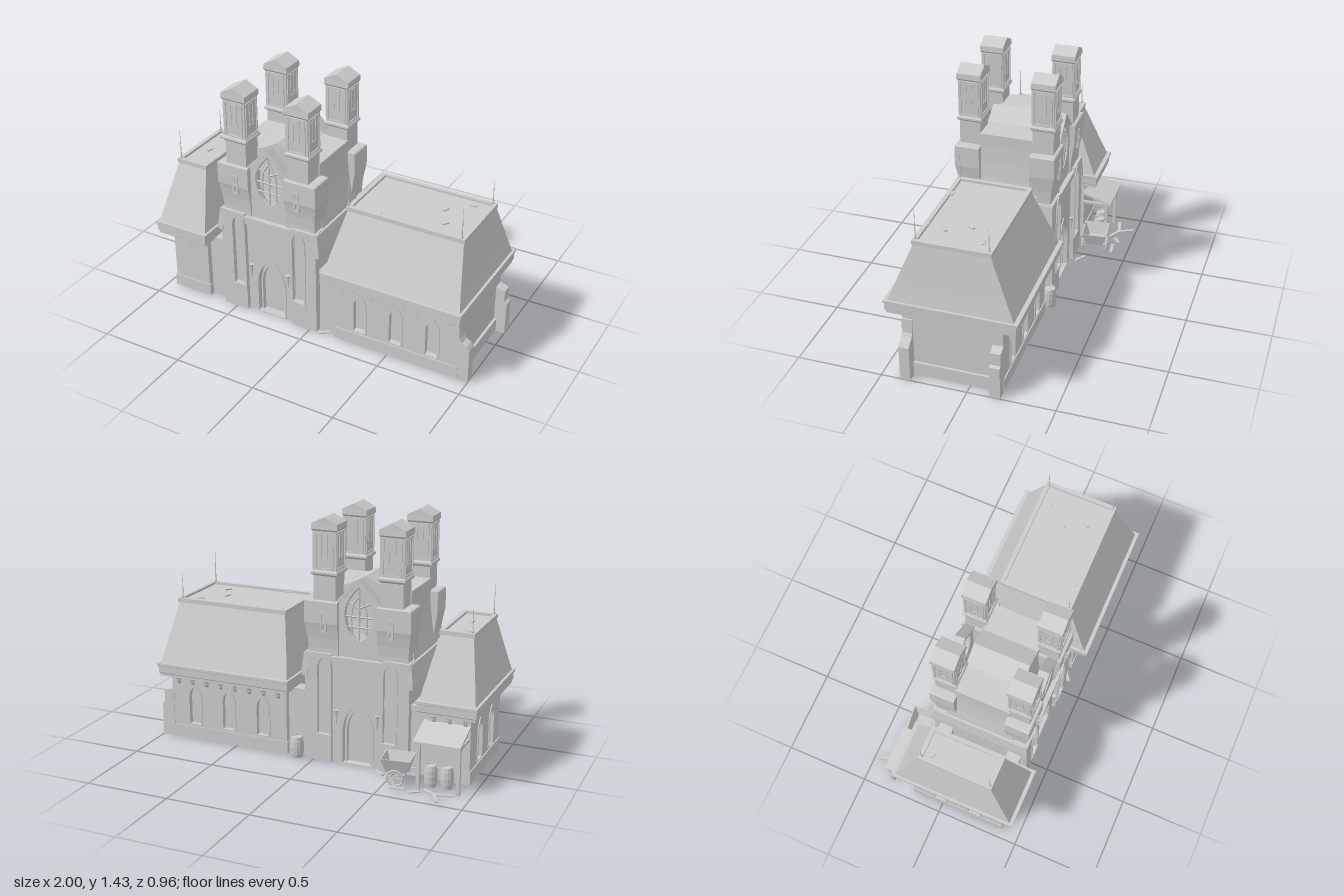
import * as THREE from 'three';

const mat = new THREE.MeshStandardMaterial({ color: 0xcccccc, flatShading: true, side: THREE.DoubleSide });
const MID = 0.1; // z of the common centre line

function add(parent, name, geo, x = 0, y = 0, z = 0) {
  const m = new THREE.Mesh(geo, mat);
  m.name = name;
  m.position.set(x, y, z);
  parent.add(m);
  return m;
}
function group(parent, name, x = 0, y = 0, z = 0, ry = 0) {
  const g = new THREE.Group();
  g.name = name;
  g.position.set(x, y, z);
  g.rotation.y = ry;
  parent.add(g);
  return g;
}
// box given by its limits
function box(parent, name, x0, x1, y0, y1, z0, z1) {
  return add(parent, name, new THREE.BoxGeometry(x1 - x0, y1 - y0, z1 - z0), (x0 + x1) / 2, (y0 + y1) / 2, (z0 + z1) / 2);
}
// stacked rectangular sections, each [x0, x1, z0, z1, y]
function loft(parent, name, rings) {
  const pos = [], idx = [];
  for (const [x0, x1, z0, z1, y] of rings) pos.push(x0, y, z1, x1, y, z1, x1, y, z0, x0, y, z0);
  for (let i = 0; i < rings.length - 1; i++) for (let j = 0; j < 4; j++) {
    const a = i * 4 + j, b = i * 4 + (j + 1) % 4;
    idx.push(a, b, b + 4, a, b + 4, a + 4);
  }
  const t = (rings.length - 1) * 4;
  idx.push(t, t + 1, t + 2, t, t + 2, t + 3, 0, 2, 1, 0, 3, 2);
  let g = new THREE.BufferGeometry();
  g.setAttribute('position', new THREE.Float32BufferAttribute(pos, 3));
  g.setIndex(idx);
  g = g.toNonIndexed();
  g.computeVertexNormals();
  return add(parent, name, g);
}
// same, for sections centred on x, z: each [halfX, halfZ, y]
const stack = (parent, name, cx, cz, secs) => loft(parent, name, secs.map(([a, b, y]) => [cx - a, cx + a, cz - b, cz + b, y]));

function arch(Type, cx, y0, w, h) {
  const s = new Type(), r = w / 2, k = y0 + h - w * 0.95;
  s.moveTo(cx - r, y0);
  s.lineTo(cx + r, y0);
  s.lineTo(cx + r, k);
  s.quadraticCurveTo(cx + r * 0.95, k + w * 0.6, cx, y0 + h);
  s.quadraticCurveTo(cx - r * 0.95, k + w * 0.6, cx - r, k);
  s.closePath();
  return s;
}
function poly(pts) {
  return new THREE.Shape(pts.map(p => new THREE.Vector2(...p)));
}
function slab(parent, name, shape, zFront, depth) {
  const g = new THREE.ExtrudeGeometry(shape, { depth, bevelEnabled: false, curveSegments: 7 });
  return add(parent, name, g, 0, 0, zFront - depth);
}
// wall with recessed pointed openings [cx, y0, w, h], each with a raised frame
function wall(parent, x0, x1, y0, y1, z, openings, depth = 0.04) {
  const s = poly([[x0, y0], [x1, y0], [x1, y1], [x0, y1]]);
  for (const [cx, oy, w, h] of openings) {
    s.holes.push(arch(THREE.Path, cx, oy + 0.001, w, h));
    const f = arch(THREE.Shape, cx, oy, w + 0.012, h + 0.01);
    f.holes.push(arch(THREE.Path, cx, oy + 0.006, w - 0.012, h - 0.014));
    slab(parent, 'archFrame', f, z + 0.006, 0.02);
    slab(parent, 'recessPanel', arch(THREE.Shape, cx, oy, w + 0.01, h + 0.005), z - depth + 0.005, 0.008);
  }
  return slab(parent, 'wall', s, z, depth);
}

// pavilion with mansard roof; roofTop = [x0, x1]
function pavilion(root, name, cx, hw, windows, corbels, eave, roofTop, spires) {
  const g = group(root, name);
  for (const ry of [0, Math.PI]) {
    const f = group(g, 'facade', cx, 0, MID, ry);
    wall(f, -hw, hw, 0, 0.41, 0.285, windows.map(x => [x, 0.09, 0.085, 0.25]));
    box(f, 'plinth', -hw - 0.006, hw + 0.006, 0.005, 0.08, 0.27, 0.291);
    const c = poly([[0, 0.34], [0.015, 0.355], [0.02, 0.375], [0.04, 0.385], [0.04, 0.41], [0, 0.41]]);
    for (const x of corbels) {
      const m = slab(f, 'corbel', c, 0, 0.018);
      m.rotation.y = -Math.PI / 2;
      m.position.set(x + 0.009, 0, 0.284);
    }
  }
  const [a, b] = eave, [p, q] = roofTop;
  loft(g, 'eaves', [[a + 0.012, b - 0.012, -0.265, 0.463, 0.405], [a + 0.012, b - 0.012, -0.265, 0.463, 0.42],
    [a + 0.006, b - 0.006, -0.27, 0.469, 0.425], [a + 0.006, b - 0.006, -0.27, 0.469, 0.465],
    [a, b, -0.28, 0.476, 0.47], [a, b, -0.28, 0.476, 0.485]]);
  loft(g, 'mansardRoof', [[a + 0.015, b - 0.015, -0.255, 0.455, 0.485], [a + 0.033, b - 0.033, -0.215, 0.415, 0.58], [p, q, -0.11, 0.31, 0.838]]);
  const rim = [[p - 0.008, q + 0.008, 0.295, 0.32], [p - 0.008, q + 0.008, -0.12, -0.095],
    [p - 0.008, p + 0.016, -0.12, 0.32], [q - 0.016, q + 0.008, -0.12, 0.32]];
  for (const [x0, x1, z0, z1] of rim) box(g, 'roofRim', x0, x1, 0.828, 0.853, z0, z1);
  for (const [x, z, h] of spires) {
    add(g, 'spire', new THREE.CylinderGeometry(0.001, 0.004, h, 6), x, 0.85 + h / 2, z);
    add(g, 'spireBase', new THREE.SphereGeometry(0.008, 6, 5), x, 0.86, z);
  }
  return g;
}

function barrel(parent, x, z, r, h) {
  const prof = [[0, 0], [0.8, 0], [0.95, 0.25], [1, 0.5], [0.95, 0.75], [0.8, 1], [0.72, 1], [0.72, 0.95], [0, 0.95]];
  add(parent, 'barrel', new THREE.LatheGeometry(prof.map(([a, b]) => new THREE.Vector2(a * r, b * h)), 14), x, 0.005, z);
  for (const t of [0.25, 0.75]) add(parent, 'barrelHoop', new THREE.CylinderGeometry(r * 0.99, r * 0.99, h * 0.07, 14, 1, true), x, 0.005 + h * t, z);
}
function plank(parent, x, y, z, l, ry, w = 0.018) {
  add(parent, 'loosePlank', new THREE.BoxGeometry(l, 0.008, w), x, y, z).rotation.y = ry;
}

function gatehouse(root) {
  const g = group(root, 'gatehouse', -0.268, 0, MID);
  for (const s of [-1, 1]) {
    const [i, o] = [s * 0.27, s * 0.315].sort((a, b) => a - b);
    box(g, 'sideWall', i, o, 0, 0.65, -0.255, 0.255);
    const [bi, bo] = [s * 0.3, s * 0.336].sort((a, b) => a - b);
    const [ti, to] = [s * 0.3, s * 0.322].sort((a, b) => a - b);
    loft(g, 'sideBand', [[bi, bo, -0.297, 0.297, 0.51], [bi, bo, -0.297, 0.297, 0.54], [ti, to, -0.29, 0.29, 0.65]]);
  }
  // core between the towers, concave on its sides
  stack(g, 'core', 0, 0, [[0.312, 0.2, 0.62], [0.305, 0.2, 0.68], [0.29, 0.18, 0.76], [0.278, 0.17, 0.86], [0.272, 0.165, 0.96], [0.272, 0.165, 1.035]]);
  slab(g, 'ridgeRoof', poly([[-0.12, 1.03], [0.12, 1.03], [0, 1.095]]), 0.165, 0.33);
  for (const ry of [0, Math.PI]) facade(group(g, 'facade', 0, 0, 0, ry));
}

function facade(f) {
  // portal
  wall(f, -0.16, 0.16, 0, 0.64, 0.268, [[0, 0, 0.19, 0.38]], 0.05);
  const surround = arch(THREE.Shape, 0, 0, 0.165, 0.355);
  surround.holes.push(arch(THREE.Path, 0, 0.004, 0.145, 0.335));
  slab(f, 'innerPortalFrame', surround, 0.25, 0.03);
  box(f, 'portalCornice', -0.155, 0.155, 0.59, 0.625, 0.25, 0.287);
  box(f, 'corniceCap', -0.158, 0.158, 0.625, 0.642, 0.22, 0.293);
  for (const s of [-1, 1]) {
    const x = s * 0.2;
    add(f, 'torch', new THREE.CylinderGeometry(0.009, 0.004, 0.07, 6), s * 0.125, 0.28, 0.285);
    add(f, 'torchBowl', new THREE.CylinderGeometry(0.013, 0.007, 0.018, 8), s * 0.125, 0.315, 0.285);
    // pier with tall niche
    const e = [s * 0.155, s * 0.315].sort((a, b) => a - b);
    wall(f, e[0], e[1], 0, 0.655, 0.293, [[x, 0.165, 0.085, 0.48]], 0.035);
    box(f, 'pier', e[0], e[1], 0, 0.655, 0.2, 0.258);
    box(f, 'nicheSill', x - 0.05, x + 0.05, 0.155, 0.17, 0.28, 0.303);
    // flared corner block
    const inn = s * 0.118, L = (out, z, y) => {
      const [a, b] = [inn, s * out].sort((p, q) => p - q);
      return [a, b, 0.15, z, y];
    };
    loft(f, 'cornerBlock', [L(0.3, 0.275, 0.64), L(0.3, 0.275, 0.68), L(0.304, 0.28, 0.74), L(0.313, 0.29, 0.8), L(0.318, 0.297, 0.83), L(0.318, 0.297, 0.955), L(0.31, 0.29, 0.96)]);
    const slit = poly([[x - 0.018, 0.78], [x + 0.018, 0.78], [x + 0.018, 0.9], [x - 0.018, 0.9]]);
    slit.holes.push(new THREE.Path([[x - 0.007, 0.792], [x + 0.007, 0.792], [x + 0.007, 0.888], [x - 0.007, 0.888]].map(p => new THREE.Vector2(...p))));
    slab(f, 'slitFrame', slit, 0.302, 0.03);
    box(f, 'slitBar', x - 0.018, x + 0.018, 0.835, 0.847, 0.28, 0.304);
    tower(f, x, 0.217);
  }
  // freestanding gable with tracery
  const gab = poly([[-0.125, 0.62], [0.125, 0.62], [0.125, 0.975], [0, 1.1], [-0.125, 0.975]]);
  const lens = new THREE.Path();
  lens.moveTo(0, 0.735);
  lens.bezierCurveTo(0.06, 0.77, 0.085, 0.82, 0.085, 0.9);
  lens.bezierCurveTo(0.085, 0.96, 0.04, 1.01, 0, 1.055);
  lens.bezierCurveTo(-0.04, 1.01, -0.085, 0.96, -0.085, 0.9);
  lens.bezierCurveTo(-0.085, 0.82, -0.06, 0.77, 0, 0.735);
  gab.holes.push(lens);
  slab(f, 'gableWall', gab, 0.265, 0.035);
  const rail = poly([[-0.13, 0.965], [-0.11, 0.965], [0, 1.075], [0.11, 0.965], [0.13, 0.965], [0, 1.1]]);
  slab(f, 'gableCoping', rail, 0.278, 0.06);
  const bar = pts => add(f, 'tracery', new THREE.TubeGeometry(new THREE.CatmullRomCurve3(pts.map(([x, y]) => new THREE.Vector3(x, y, 0.255))), 10, 0.006, 5));
  bar([[0, 0.735], [0, 1.05]]);
  for (const s of [-1, 1]) {
    bar([[0, 0.735], [s * 0.065, 0.79], [s * 0.087, 0.9], [s * 0.05, 0.995], [0, 1.055]]);
    bar([[s * 0.043, 0.775], [s * 0.045, 0.9], [s * 0.03, 0.96], [0, 1.0]]);
    bar([[0, 0.93], [s * 0.04, 0.95], [s * 0.072, 0.965]]);
  }
  for (const y of [0.82, 0.88]) bar([[-0.08, y], [0.08, y]]);
}

function tower(f, x, z) {
  const t = group(f, 'tower', x, 0, z);
  stack(t, 'towerShaft', 0, 0, [[0.066, 0.062, 0.9], [0.066, 0.062, 1.1], [0.074, 0.069, 1.107], [0.079, 0.074, 1.112], [0.079, 0.074, 1.123],
    [0.07, 0.065, 1.133], [0.07, 0.065, 1.352], [0.078, 0.072, 1.362], [0.076, 0.07, 1.395]]);
  slab(t, 'towerRoof', poly([[-0.076, 1.394], [0.076, 1.394], [0, 1.432]]), 0.07, 0.14);
  for (let i = 0; i < 4; i++) {
    const face = group(t, 'towerWindow', 0, 0, 0, i * Math.PI / 2), d = i % 2 ? 0.07 : 0.065;
    for (const [w, y0, y1, b, out] of [[0.052, 1.138, 1.35, 0.008, 0.006], [0.018, 1.2, 1.335, 0.006, 0.004]]) {
      for (const s of [-1, 1]) box(face, 'frameSide', s * w - b / 2, s * w + b / 2, y0, y1, d - 0.005, d + out);
      for (const y of [y0, y1 - b]) box(face, 'frameRail', -w, w, y, y + b, d - 0.005, d + out);
    }
  }
}

function cart(root) {
  const c = group(root, 'cart', -0.565, 0, -0.3, 0.12);
  stack(c, 'cartBed', 0, 0, [[0.06, 0.05, 0.08], [0.085, 0.078, 0.16], [0.079, 0.072, 0.16], [0.055, 0.045, 0.09]]);
  add(c, 'axle', new THREE.CylinderGeometry(0.007, 0.007, 0.16, 6), 0, 0.055, 0).rotation.x = Math.PI / 2;
  for (const s of [-1, 1]) {
    const w = group(c, 'wheel', 0, 0.055, s * 0.075);
    add(w, 'wheelRim', new THREE.TorusGeometry(0.045, 0.006, 5, 16));
    for (let i = 0; i < 4; i++) add(w, 'spoke', new THREE.BoxGeometry(0.088, 0.006, 0.006)).rotation.z = i * Math.PI / 4;
    box(c, 'cartShaft', -0.12, 0.06, 0.07, 0.082, s * 0.04 - 0.005, s * 0.04 + 0.005);
  }
}

export function createModel() {
  const root = new THREE.Group();
  root.name = 'gothicHall';
  // large right wing
  const big = pavilion(root, 'largePavilion', 0.55, 0.38, [-0.225, 0, 0.225], [-3.5, -2.5, -1.5, -0.5, 0.5, 1.5, 2.5, 3.5].map(i => i * 0.094),
    [0.12, 0.975], [0.21, 0.9], [[0.21, 0.305, 0.15], [0.885, 0.305, 0.19], [0.885, -0.1, 0.15]]);
  for (const x of [0.17, 0.89]) box(big, 'endWall', x, x + 0.04, 0, 0.41, -0.145, 0.345);
  box(big, 'endPlinth', 0.92, 0.945, 0.005, 0.085, -0.185, 0.385);
  const brk = poly([[0.92, 0], [1, 0], [1, 0.215], [0.985, 0.235], [0.955, 0.25], [0.94, 0.275], [0.935, 0.36], [0.92, 0.37]]);
  const but = poly([[0.92, 0], [1, 0], [1, 0.2], [0.985, 0.21], [0.985, 0.285], [0.935, 0.3], [0.92, 0.3]]);
  slab(big, 'brokenButtress', brk, 0.388, 0.06);
  slab(big, 'buttress', but, -0.128, 0.06);
  // small left wing
  const small = pavilion(root, 'smallPavilion', -0.82, 0.12, [], [-0.09, 0, 0.09],
    [-0.998, -0.647], [-0.915, -0.73], [[-0.905, 0.305, 0.18], [-0.905, -0.1, 0.14]]);
  const side = group(small, 'outerSide', -0.82, 0, MID, -Math.PI / 2);
  wall(side, -0.245, 0.245, 0, 0.41, 0.12, [[-0.11, 0.09, 0.085, 0.25], [0.11, 0.09, 0.085, 0.25]]);
  box(side, 'sidePlinth', -0.285, 0.285, 0.005, 0.08, 0.1, 0.126);
  box(small, 'innerWall', -0.74, -0.7, 0, 0.41, -0.145, 0.345);

  gatehouse(root);

  // link walls
  for (const [x0, x1] of [[-0.705, -0.58], [0.04, 0.175]]) for (const s of [-1, 1]) {
    box(root, 'linkWall', x0, x1, 0, 0.39, MID + s * 0.215 - 0.035, MID + s * 0.215 + 0.035);
    box(root, 'linkWallCap', x0, x1, 0.385, 0.41, MID + s * 0.215 - 0.042, MID + s * 0.215 + 0.042);
  }

  // lean-to shed
  const shed = group(root, 'shed');
  const roof = slab(shed, 'shedRoof', poly([[0.18, 0.335], [0.365, 0.272], [0.365, 0.287], [0.18, 0.35]]), 0, 0.27);
  roof.rotation.y = Math.PI / 2;
  roof.position.set(-0.94, 0, 0);
  for (const x of [-0.925, -0.695]) {
    box(shed, 'shedPost', x - 0.01, x + 0.01, 0, 0.285, -0.345, -0.325);
    box(shed, 'shedRafter', x - 0.008, x + 0.008, 0.26, 0.275, -0.345, -0.18);
  }
  barrel(shed, -0.84, -0.27, 0.038, 0.125);
  barrel(shed, -0.75, -0.28, 0.038, 0.125);
  barrel(root, 0.1, -0.195, 0.042, 0.125);
  cart(root);

  // loose planks on ground and roofs
  for (const [x, z, l, r] of [[-0.83, -0.44, 0.1, -1.1], [-0.87, -0.385, 0.1, 0.2], [-0.78, -0.38, 0.1, -0.5], [-0.7, -0.41, 0.06, 0.6],
    [-0.43, -0.24, 0.08, -0.6], [-0.6, -0.4, 0.09, 0.1], [0.1, 0.385, 0.07, 0.6]]) plank(root, x, 0.012, z, l, r);
  for (const [x, z, r] of [[0.8, -0.04, 0.2], [0.68, 0.07, 1.2], [0.74, 0.2, 0.9], [0.38, 0.29, 0.1], [0.72, 0.3, 0], [-0.87, -0.05, -0.6], [-0.83, 0.13, 1.4]]) plank(root, x, 0.845, z, 0.04, r);
  return root;
}
